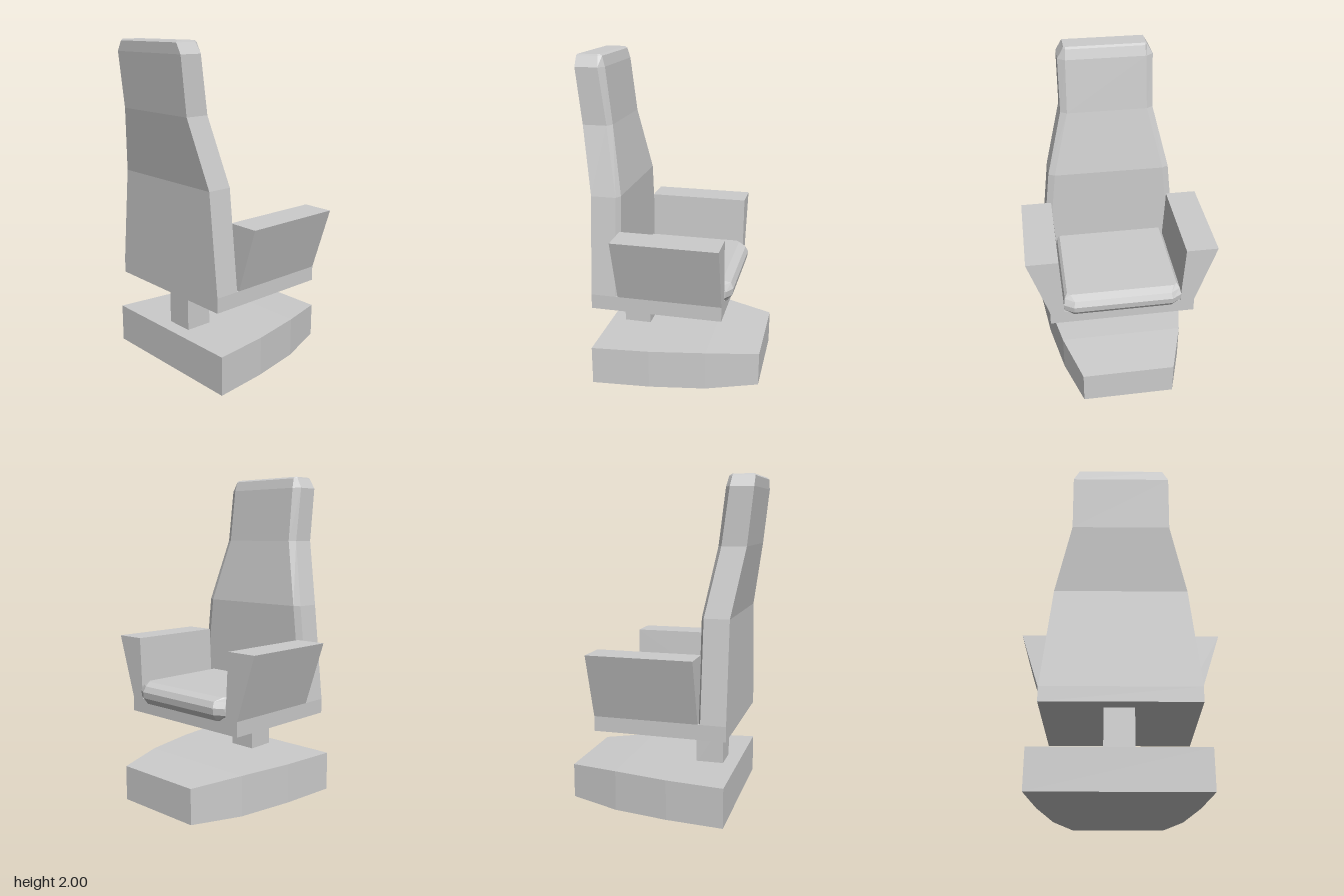
import * as THREE from 'three';

const material = new THREE.MeshStandardMaterial({ color: 0xcccccc, flatShading: true });

// Closed faceted solid through matching rings of [x, y, z] points,
// each ring running anticlockwise as seen from the end the loft heads to.
function loft(name, rings) {
  const pos = [];
  const tri = (a, b, c) => pos.push(...a, ...b, ...c);
  const n = rings[0].length;
  for (let r = 0; r < rings.length - 1; r++) {
    const lo = rings[r], hi = rings[r + 1];
    for (let i = 0; i < n; i++) {
      const j = (i + 1) % n;
      tri(lo[i], lo[j], hi[j]);
      tri(lo[i], hi[j], hi[i]);
    }
  }
  const first = rings[0], last = rings[rings.length - 1];
  for (let i = 1; i < n - 1; i++) {
    tri(first[0], first[i + 1], first[i]);
    tri(last[0], last[i], last[i + 1]);
  }
  const geometry = new THREE.BufferGeometry();
  geometry.setAttribute('position', new THREE.Float32BufferAttribute(pos, 3));
  geometry.computeVertexNormals();
  const mesh = new THREE.Mesh(geometry, material);
  mesh.name = name;
  return mesh;
}

function box(name, x0, x1, y0, y1, z0, z1) {
  const mesh = new THREE.Mesh(new THREE.BoxGeometry(x1 - x0, y1 - y0, z1 - z0), material);
  mesh.position.set((x0 + x1) / 2, (y0 + y1) / 2, (z0 + z1) / 2);
  mesh.name = name;
  return mesh;
}

// Horizontal section, square at the rear and with clipped corners (cx, cz) on the seat side
function clippedRing(y, w, zRear, zFront, cx, cz) {
  return [
    [w, y, zRear], [w, y, zFront + cz], [w - cx, y, zFront],
    [cx - w, y, zFront], [-w, y, zFront + cz], [-w, y, zRear],
  ];
}

export function createModel() {
  const group = new THREE.Group();
  group.name = 'chair';

  // Pedestal base, tapering to the seat's open end: [z, half width, bottom, top]
  const baseSections = [
    [0.45, 0.5, 0.015, 0.255],
    [0.1, 0.46, 0.008, 0.252],
    [-0.24, 0.39, 0, 0.247],
    [-0.555, 0.288, 0.012, 0.225],
  ];
  const base = loft('base', baseSections.map(([z, w, lo, hi]) =>
    [[-w, lo, z], [-w, hi, z], [w, hi, z], [w, lo, z]]));
  base.position.x = -0.008;
  group.add(base);

  group.add(box('column', -0.095, 0.08, 0.24, 0.52, 0.19, 0.36));
  group.add(box('seatBase', -0.455, 0.455, 0.51, 0.6, -0.345, 0.45));

  // Seat cushion, bevelled all round
  group.add(loft('seatCushion', [
    clippedRing(0.58, 0.345, 0.32, -0.355, 0.04, 0.03),
    clippedRing(0.62, 0.367, 0.32, -0.385, 0.06, 0.035),
    clippedRing(0.66, 0.367, 0.32, -0.39, 0.06, 0.035),
    clippedRing(0.695, 0.36, 0.32, -0.373, 0.06, 0.04),
    clippedRing(0.715, 0.343, 0.32, -0.325, 0.02, 0.02),
  ]));

  // Backrest: [y, half width, rear z, front z, corner bevel x, corner bevel z]
  group.add(loft('backrest', [
    [0.6, 0.455, 0.45, 0.28, 0.04, 0.02],
    [1.2, 0.39, 0.45, 0.28, 0.04, 0.02],
    [1.6, 0.29, 0.52, 0.35, 0.04, 0.025],
    [1.93, 0.29, 0.555, 0.388, 0.045, 0.03],
    [1.99, 0.255, 0.555, 0.405, 0.015, 0.02],
    [2.0, 0.25, 0.545, 0.42, 0.01, 0.01],
  ].map((s) => clippedRing(...s))));

  // Armrests, flaring outward
  const armProfile = [[0.365, 0.6], [0.385, 0.99], [0.58, 0.99], [0.455, 0.6]];
  for (const [name, side] of [['leftArmrest', 1], ['rightArmrest', -1]]) {
    const rings = [0.285, -0.345].map((z) => {
      const ring = armProfile.map(([x, y]) => [side * x, y, z]);
      return side > 0 ? ring : ring.reverse();
    });
    group.add(loft(name, rings));
  }

  return group;
}
